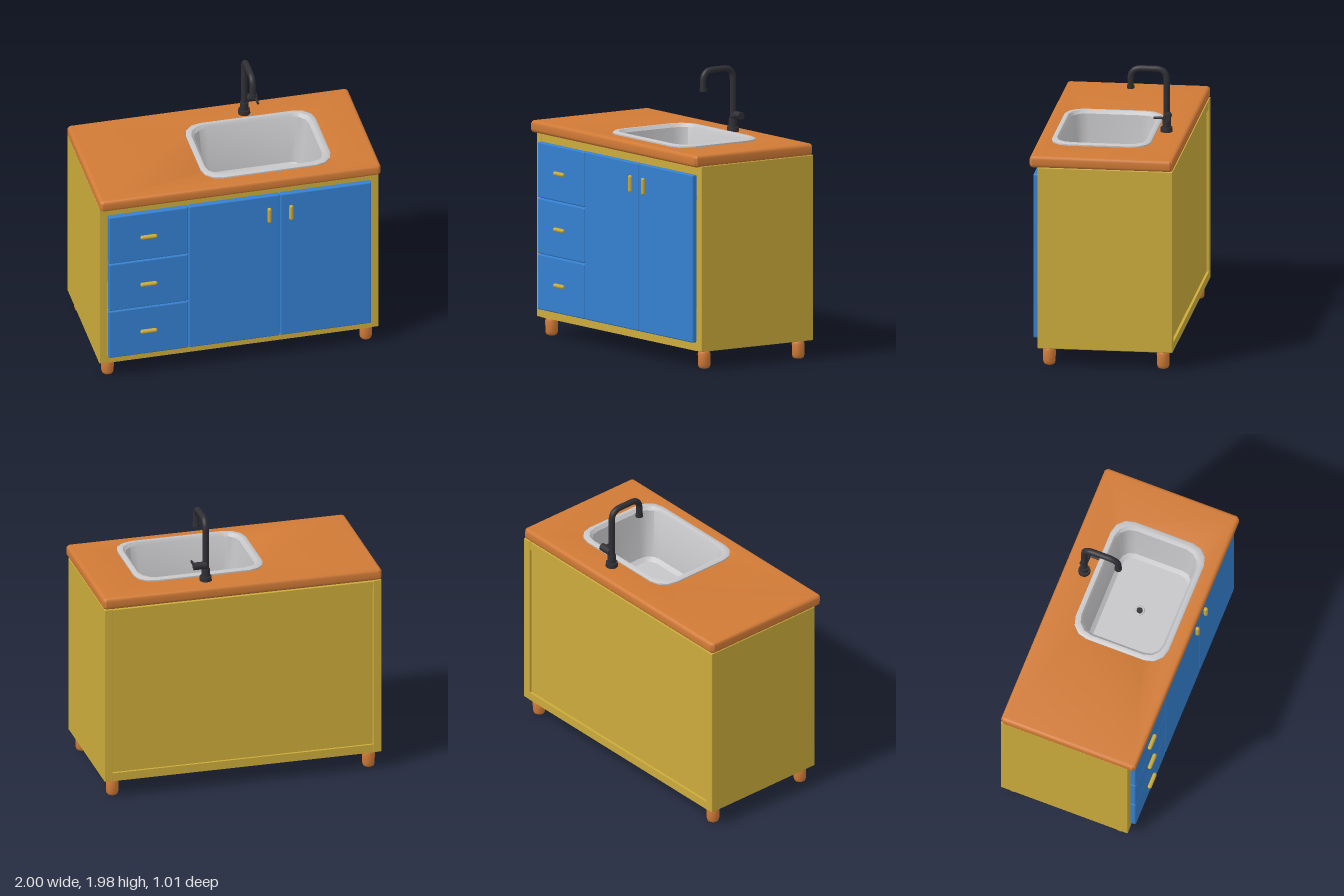
import * as THREE from 'three';
import { toCreasedNormals } from 'three/addons/utils/BufferGeometryUtils.js';
import { RoundedBoxGeometry } from 'three/addons/geometries/RoundedBoxGeometry.js';

const SINK_X = 0.23, SINK_Z = 0.05;

function material(name, color, side = THREE.FrontSide) {
  const m = new THREE.MeshStandardMaterial({ color, side });
  m.name = name;
  return m;
}

// Corner points of a rounded rectangle, counter-clockwise
function roundedRect(hx, hy, r, seg) {
  const pts = [];
  for (let c = 0; c < 4; c++) {
    const cx = (c === 0 || c === 3 ? 1 : -1) * (hx - r);
    const cy = (c < 2 ? 1 : -1) * (hy - r);
    for (let i = 0; i <= seg; i++) {
      const a = (c + i / seg) * Math.PI / 2;
      pts.push(new THREE.Vector2(cx + r * Math.cos(a), cy + r * Math.sin(a)));
    }
  }
  return pts;
}

// Skin over rounded-rectangle rings [halfX, halfZ, radius, y], closed by a floor
function basinGeometry(rings) {
  const pos = [], index = [];
  const n = 16;
  for (const [hx, hz, r, y] of rings)
    for (const p of roundedRect(hx, hz, r, 3)) pos.push(p.x, y, -p.y);
  for (let k = 0; k < rings.length - 1; k++)
    for (let i = 0; i < n; i++) {
      const a = k * n + i, b = k * n + (i + 1) % n;
      index.push(a, b, b + n, a, b + n, a + n);
    }
  const last = (rings.length - 1) * n;
  pos.push(0, rings[rings.length - 1][3], 0);
  for (let i = 0; i < n; i++) index.push(last + i, last + (i + 1) % n, last + n);
  const g = new THREE.BufferGeometry();
  g.setAttribute('position', new THREE.Float32BufferAttribute(pos, 3));
  g.setIndex(index);
  return toCreasedNormals(g, 0.6);
}

export function createModel() {
  const model = new THREE.Group();
  model.name = 'sinkCabinet';
  const yellow = material('yellowPaint', 0xcbab3b);
  const blue = material('bluePaint', 0x3480d0);
  const wood = material('orangeWood', 0xd07a36);
  const steel = material('steel', 0xc6c6c8, THREE.DoubleSide);
  const black = material('blackMetal', 0x2f2f35);

  const add = (name, geo, mat, x = 0, y = 0, z = 0) => {
    const m = new THREE.Mesh(geo, mat);
    m.name = name;
    m.position.set(x, y, z);
    model.add(m);
    return m;
  };
  // Box given by its limits, with optional rounded edges
  const block = (name, mat, [x0, x1], [y0, y1], [z0, z1], r = 0) => {
    const s = [x1 - x0, y1 - y0, z1 - z0];
    const geo = r ? new RoundedBoxGeometry(...s, 2, r) : new THREE.BoxGeometry(...s);
    return add(name, geo, mat, (x0 + x1) / 2, (y0 + y1) / 2, (z0 + z1) / 2);
  };

  // Cabinet carcass with a recessed back panel
  block('leftSide', yellow, [0.935, 0.995], [0.13, 1.43], [-0.505, 0.44], 0.006);
  block('rightSide', yellow, [-0.995, -0.935], [0.13, 1.43], [-0.505, 0.44], 0.006);
  block('bottomPanel', yellow, [-0.94, 0.94], [0.13, 0.19], [-0.503, 0.438]);
  block('backPanel', yellow, [-0.94, 0.94], [0.18, 1.4], [-0.485, -0.455]);
  block('backRail', yellow, [-0.94, 0.94], [1.36, 1.42], [-0.5, -0.44]);
  block('frontRail', yellow, [-0.94, 0.94], [1.36, 1.42], [0.341, 0.436]);

  // Drawers and doors
  for (const y of [0.19, 0.582, 0.975]) {
    block('drawerFront', blue, [-0.935, -0.37], [y, y + 0.388], [0.436, 0.476], 0.01);
    const h = add('drawerHandle', new THREE.CapsuleGeometry(0.015, 0.092, 4, 10), yellow, -0.655, y + 0.197, 0.49);
    h.rotation.z = Math.PI / 2;
  }
  block('rightDoor', blue, [-0.366, 0.281], [0.19, 1.365], [0.436, 0.476], 0.01);
  block('leftDoor', blue, [0.287, 0.935], [0.19, 1.365], [0.436, 0.476], 0.01);
  for (const x of [0.205, 0.36])
    add('doorHandle', new THREE.CapsuleGeometry(0.015, 0.092, 4, 10), yellow, x, 1.215, 0.49);

  // Feet
  const footProfile = [[0, 0], [0.026, 0], [0.038, 0.008], [0.044, 0.028], [0.045, 0.1], [0.04, 0.12], [0.028, 0.13], [0, 0.13]]
    .map(([x, y]) => new THREE.Vector2(x, y));
  const foot = toCreasedNormals(new THREE.LatheGeometry(footProfile, 16), 0.7);
  for (const x of [-0.92, 0.92])
    for (const z of [-0.43, 0.365]) add('foot', foot, wood, x, 0.002, z);

  // Worktop with a cut-out for the sink
  const bevel = 0.025;
  const top = new THREE.Shape(roundedRect(1 - bevel, 0.5 - bevel, 0.004, 1));
  const hole = roundedRect(0.44, 0.325, 0.12, 3).map(p => p.add(new THREE.Vector2(SINK_X, -SINK_Z - 0.005)));
  top.holes.push(new THREE.Path(hole.reverse()));
  const topGeo = new THREE.ExtrudeGeometry(top, {
    depth: 0.085 - 2 * bevel, bevelEnabled: true, bevelSize: bevel, bevelThickness: bevel, bevelSegments: 4,
  });
  topGeo.rotateX(-Math.PI / 2);
  add('worktop', toCreasedNormals(topGeo, 0.6), wood, 0, 1.425 + bevel, -0.005);

  // Sink rim and basin
  add('sink', basinGeometry([
    [0.462, 0.346, 0.13, 1.508], [0.462, 0.346, 0.13, 1.52], [0.45, 0.334, 0.125, 1.528],
    [0.428, 0.312, 0.12, 1.528], [0.408, 0.297, 0.11, 1.505],
    [0.372, 0.265, 0.09, 1.15], [0.345, 0.238, 0.07, 1.125],
  ]), steel, SINK_X, 0, SINK_Z);
  const ring = add('drainRing', new THREE.TorusGeometry(0.029, 0.007, 6, 20), steel, SINK_X, 1.127, SINK_Z);
  ring.rotation.x = Math.PI / 2;
  add('drainHole', new THREE.CylinderGeometry(0.021, 0.021, 0.008, 16), black, SINK_X, 1.129, SINK_Z);

  // Tap: stepped base, bent spout, nozzle
  const tz = -0.362;
  add('tapBase', new THREE.CylinderGeometry(0.041, 0.043, 0.035, 20), black, SINK_X, 1.525, tz);
  add('tapCollar', new THREE.CylinderGeometry(0.029, 0.029, 0.06, 20), black, SINK_X, 1.57, tz);
  const v = (y, z) => new THREE.Vector3(SINK_X, y, z);
  const spout = new THREE.CurvePath();
  spout.add(new THREE.LineCurve3(v(1.55, tz), v(1.88, tz)));
  spout.add(new THREE.QuadraticBezierCurve3(v(1.88, tz), v(1.957, tz), v(1.957, -0.285)));
  spout.add(new THREE.LineCurve3(v(1.957, -0.285), v(1.957, -0.187)));
  spout.add(new THREE.QuadraticBezierCurve3(v(1.957, -0.187), v(1.957, -0.11), v(1.88, -0.11)));
  spout.add(new THREE.LineCurve3(v(1.88, -0.11), v(1.82, -0.11)));
  add('spout', new THREE.TubeGeometry(spout, 60, 0.022, 14), black);
  add('nozzle', new THREE.CylinderGeometry(0.026, 0.026, 0.02, 18), black, SINK_X, 1.822, -0.11);

  // Tap valve and lever
  const valve = add('valve', new THREE.CylinderGeometry(0.027, 0.027, 0.09, 18), black, 0.275, 1.627, -0.372);
  valve.rotation.z = Math.PI / 2;
  const lever = add('lever', new THREE.CylinderGeometry(0.009, 0.009, 0.1, 12), black, 0.31, 1.627, -0.333);
  lever.rotation.x = Math.PI / 2;

  return model;
}
